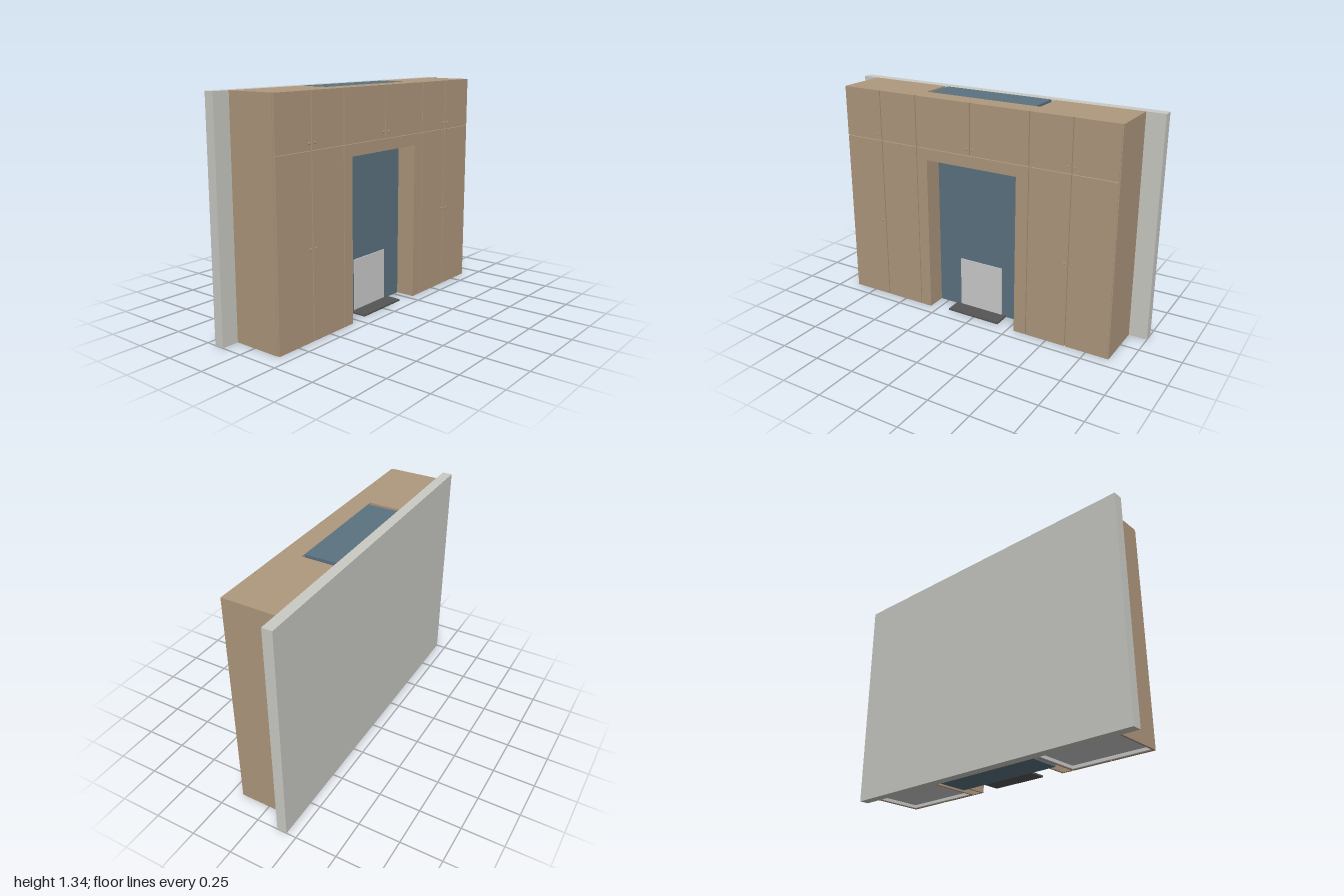
import * as THREE from 'three';

const paint = (color) => new THREE.MeshStandardMaterial({ color });
const wood = paint(0xaf987e);
const plaster = paint(0xcbcbc5);
const blue = paint(0x5c7280);
const white = paint(0xd1d2ce);
const slate = paint(0x555555);

const H = 1.335;       // full height
const BACK = -0.13;    // face of the wall
const CHIMNEY = 0.06;  // face of the chimney breast
const FRONT = 0.18;    // face of the doors
const DOOR = 0.012;    // door thickness
const T = 0.012;       // board thickness
const GAP = 0.007;     // gap around doors
const SPLIT = 1.032;   // height between lower and upper doors

// Box given by its limits on each axis
function box(parent, name, material, x0, x1, y0, y1, z0, z1) {
  const mesh = new THREE.Mesh(new THREE.BoxGeometry(x1 - x0, y1 - y0, z1 - z0), material);
  mesh.position.set((x0 + x1) / 2, (y0 + y1) / 2, (z0 + z1) / 2);
  mesh.name = name;
  parent.add(mesh);
  return mesh;
}

// Door filling a bay, leaving half a gap on each side
function door(parent, name, x0, x1, y0, y1) {
  const g = GAP / 2;
  box(parent, name, wood, x0 + g, x1 - g, y0 > 0 ? y0 + g : y0, y1 < H ? y1 - g : y1, FRONT - DOOR, FRONT);
}

// Turned knob with a narrow neck
function knob(parent, x, y) {
  const profile = [[0, 0], [0.004, 0], [0.004, 0.004], [0.008, 0.005], [0.008, 0.01], [0, 0.011]]
    .map(([r, h]) => new THREE.Vector2(r, h));
  const mesh = new THREE.Mesh(new THREE.LatheGeometry(profile, 16), wood);
  mesh.geometry.rotateX(Math.PI / 2);
  mesh.geometry = mesh.geometry.toNonIndexed();
  mesh.geometry.computeVertexNormals();
  mesh.position.set(x, y, FRONT);
  mesh.name = 'knob';
  parent.add(mesh);
}

// Tall wardrobe with an open plinth, a raised floor and two tiers of doors
function wardrobe(name, x0, x1, middle) {
  const g = new THREE.Group();
  g.name = name;
  const z1 = FRONT - DOOR;
  for (const x of [x0, x1 - T]) box(g, 'sidePanel', wood, x, x + T, 0, H, BACK, z1);
  box(g, 'topPanel', wood, x0 + T, x1 - T, H - T, H, BACK, z1);
  box(g, 'carcassFront', wood, x0 + T, x1 - T, 0, H - T, z1 - 0.006, z1);
  box(g, 'floorPanel', white, x0 + T, x1 - T, 0.02, 0.032, BACK, z1 - 0.006);
  for (const x of [x0 + T, x1 - T - 0.004]) {
    box(g, 'plinthLining', white, x, x + 0.004, 0.002, 0.02, BACK, z1 - 0.006);
  }
  box(g, 'plinthLining', white, x0 + T, x1 - T, 0.002, 0.02, z1 - 0.012, z1 - 0.006);
  for (const [y0, y1, knobY] of [[0, SPLIT, 0.515], [SPLIT, H, 1.07]]) {
    door(g, 'door', x0, middle, y0, y1);
    door(g, 'door', middle, x1, y0, y1);
    for (const s of [-1, 1]) knob(g, middle + s * 0.023, knobY);
  }
  return g;
}

export function createModel() {
  const model = new THREE.Group();
  model.name = 'fittedWardrobes';

  // Wall and chimney breast
  box(model, 'wall', plaster, -1, 1, 0, H, -0.19, BACK);
  box(model, 'chimneyBreast', blue, -0.35, 0.34, 0, H, BACK, CHIMNEY);

  // Wardrobes on either side
  model.add(wardrobe('rightWardrobe', -0.897, -0.376, -0.632));
  model.add(wardrobe('leftWardrobe', 0.368, 0.886, 0.622));
  box(model, 'endPanel', wood, 0.884, 0.89, 0, H, BACK, FRONT);

  // Surround in front of the chimney breast, with a doorway-shaped opening
  const outline = [[-0.374, 0], [-0.305, 0], [-0.305, 0.96], [0.29, 0.96], [0.29, 0],
    [0.366, 0], [0.366, SPLIT - GAP / 2], [-0.374, SPLIT - GAP / 2]];
  const shape = new THREE.Shape(outline.map(([x, y]) => new THREE.Vector2(x, y)));
  const surround = new THREE.Mesh(
    new THREE.ExtrudeGeometry(shape, { depth: DOOR, bevelEnabled: false }), wood);
  surround.position.z = FRONT - DOOR;
  surround.name = 'surround';
  model.add(surround);
  for (const x of [-0.305 - T, 0.29]) {
    box(model, 'jamb', wood, x, x + T, 0, 0.96, CHIMNEY, FRONT - DOOR);
  }

  // Bridging cupboard over the opening
  const bridge = new THREE.Group();
  bridge.name = 'bridgeCupboard';
  box(bridge, 'carcass', wood, -0.376, 0.368, 0.96, H, CHIMNEY, FRONT - DOOR);
  door(bridge, 'door', -0.376, -0.007, SPLIT, H);
  door(bridge, 'door', -0.007, 0.368, SPLIT, H);
  for (const s of [-1, 1]) knob(bridge, -0.007 + s * 0.023, 1.07);
  model.add(bridge);

  // Fireplace panel and hearth
  box(model, 'fireplacePanel', white, -0.15, 0.14, 0.01, 0.32, CHIMNEY, CHIMNEY + 0.006);
  box(model, 'hearth', slate, -0.18, 0.17, 0, 0.01, CHIMNEY, 0.165);

  return model;
}
